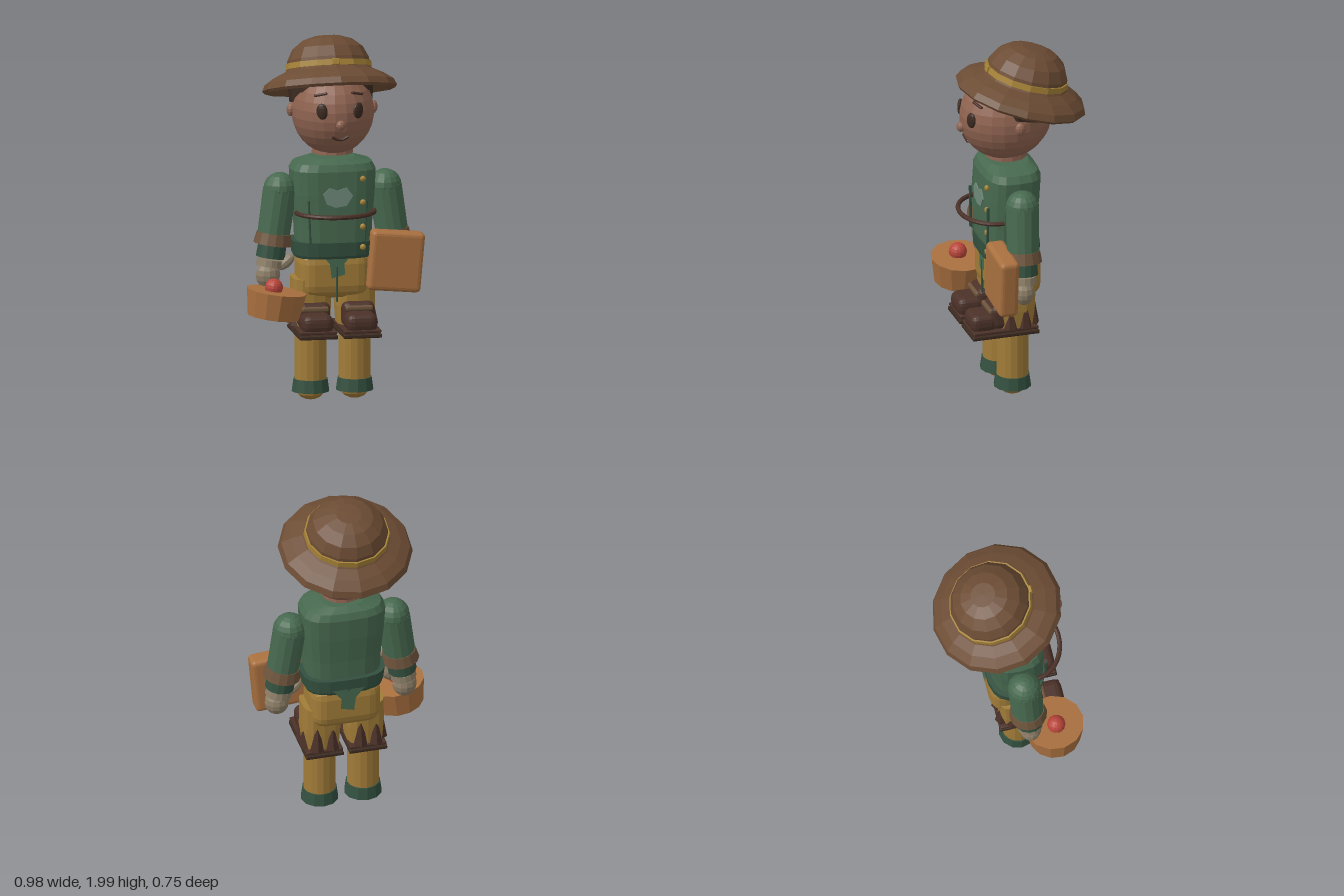
import * as THREE from 'three';
import { RoundedBoxGeometry } from 'three/addons/geometries/RoundedBoxGeometry.js';

const mat = (color, side = THREE.FrontSide) =>
  new THREE.MeshStandardMaterial({ color, flatShading: true, side });

const M = {
  skin: mat(0x8f6350), green: mat(0x47694f), darkGreen: mat(0x33503f), pants: mat(0xa17c38),
  felt: mat(0x6c4c34), gold: mat(0xa58236), boot: mat(0x4b3128), dark: mat(0x3b2a20, THREE.DoubleSide),
  cuff: mat(0x6e543c), glove: mat(0x8d7f68), tan: mat(0xa9703f), red: mat(0xb8453a), patch: mat(0x6f8a7b),
  patchGreen: mat(0x45694f, THREE.DoubleSide),
};

function add(parent, name, geometry, material, pos = [0, 0, 0], rot = [0, 0, 0]) {
  const mesh = new THREE.Mesh(geometry, material);
  mesh.name = name;
  mesh.position.set(...pos);
  mesh.rotation.set(...rot);
  parent.add(mesh);
  return mesh;
}

const box = (w, h, d, r = 0.02) => new RoundedBoxGeometry(w, h, d, 2, r);
const ball = (rx, ry = rx, rz = rx, n = 14) => new THREE.SphereGeometry(1, n, Math.round(n * 0.7)).scale(rx, ry, rz);
const cyl = (top, bottom, h, n = 14, open = false) => new THREE.CylinderGeometry(top, bottom, h, n, 1, open);
const lathe = (pts, n) => new THREE.LatheGeometry(pts.map((p) => new THREE.Vector2(...p)), n);

// Tapered cylinder between two points
function limb(parent, name, a, b, ra, rb, material) {
  const A = new THREE.Vector3(...a), B = new THREE.Vector3(...b);
  const dir = B.clone().sub(A);
  const mesh = add(parent, name, cyl(rb, ra, dir.length()), material);
  mesh.position.copy(A).add(B).multiplyScalar(0.5);
  mesh.quaternion.setFromUnitVectors(new THREE.Vector3(0, 1, 0), dir.normalize());
  return mesh;
}

// Stack of rounded-rectangle sections [y, halfWidth, halfDepth, centreZ], capped at both ends
function loft(sections, n = 20) {
  const pos = [], idx = [];
  const round = (v) => Math.sign(v) * Math.abs(v) ** 0.65;
  for (const [y, rx, rz, cz] of sections)
    for (let i = 0; i < n; i++) {
      const a = (i / n) * Math.PI * 2;
      pos.push(rx * round(Math.sin(a)), y, cz + rz * round(Math.cos(a)));
    }
  const last = sections.length - 1;
  for (let k = 0; k < last; k++)
    for (let i = 0; i < n; i++) {
      const a = k * n + i, b = k * n + ((i + 1) % n);
      idx.push(a, b, b + n, a, b + n, a + n);
    }
  for (let i = 1; i < n - 1; i++) {
    idx.push(0, i + 1, i);
    idx.push(last * n, last * n + i, last * n + i + 1);
  }
  const g = new THREE.BufferGeometry();
  g.setAttribute('position', new THREE.Float32BufferAttribute(pos, 3));
  g.setIndex(idx);
  g.computeVertexNormals();
  return g;
}

function buildHead(root) {
  const head = new THREE.Group();
  head.name = 'head';
  root.add(head);
  const C = [0, 1.6, 0.065], R = [0.225, 0.243, 0.255];
  const faceZ = (x, y) => C[2] + R[2] * Math.sqrt(1 - (x / R[0]) ** 2 - ((y - C[1]) / R[1]) ** 2);
  add(head, 'skull', ball(...R, 22), M.skin, C);
  add(head, 'neck', cyl(0.11, 0.115, 0.06, 12), M.skin, [0, 1.395, 0.06]);
  add(head, 'nose', ball(0.028, 0.028, 0.025, 10), M.skin, [0, 1.56, 0.318]);
  for (const s of [-1, 1]) {
    add(head, 'ear', ball(0.025, 0.037, 0.03, 10), M.skin, [s * 0.227, 1.605, 0.05]);
    const ex = s * 0.1;
    add(head, 'eye', ball(0.032, 0.045, 0.015, 12), M.dark, [ex, 1.635, faceZ(ex, 1.635)], [0, s * 0.45, s * -0.1]);
    add(head, 'eyebrow', box(0.075, 0.014, 0.02, 0.006), M.boot, [ex, 1.722, faceZ(ex, 1.722)], [-0.3, s * 0.45, s * -0.08]);
  }
  const smile = [-0.045, -0.022, 0, 0.022, 0.045].map((x) => {
    const y = 1.475 + 9 * x * x;
    return new THREE.Vector3(x, y, faceZ(x, y));
  });
  add(head, 'mouth', new THREE.TubeGeometry(new THREE.CatmullRomCurve3(smile), 10, 0.009, 6), M.boot);
}

function buildHat(root) {
  const hat = new THREE.Group();
  hat.name = 'hat';
  hat.position.set(0, 1.71, -0.025);
  hat.rotation.x = -0.28;
  root.add(hat);
  add(hat, 'brimAndCrown', lathe([[0.2, 0.05], [0.3, 0.02], [0.355, -0.025], [0.368, -0.01], [0.352, 0.025],
    [0.3, 0.06], [0.24, 0.088], [0.228, 0.1], [0.222, 0.15], [0.192, 0.21], [0.135, 0.255], [0.07, 0.275], [0, 0.277]], 14), M.felt);
  add(hat, 'hatBand', cyl(0.233, 0.236, 0.032, 14), M.gold, [0, 0.115, 0]);
  add(hat, 'hatBuckle', box(0.04, 0.036, 0.02, 0.005), M.gold, [0, 0.117, 0.232]);
  add(hat, 'hatLining', cyl(0.238, 0.226, 0.15, 14, true), M.dark, [0, -0.005, 0.028], [0.08, 0, 0]);
}

function buildTorso(root) {
  add(root, 'jacket', loft([[0.84, 0.205, 0.145, 0.07], [1.0, 0.213, 0.15, 0.067], [1.15, 0.227, 0.158, 0.06],
    [1.28, 0.234, 0.16, 0.055], [1.318, 0.212, 0.145, 0.055], [1.345, 0.12, 0.11, 0.055]]), M.green);
  add(root, 'belt', loft([[0.8, 0.215, 0.155, 0.06], [0.815, 0.222, 0.16, 0.06], [0.89, 0.232, 0.162, 0.06]]), M.darkGreen);
  for (const y of [1.24, 1.11, 0.975, 0.862])
    add(root, 'button', ball(0.017, 0.017, 0.014, 8), M.gold, [0.14, y, 0.215]);
  for (const s of [-1, 1])
    add(root, 'jacketSeam', box(0.011, 0.24, 0.015, 0.004), M.darkGreen, [s * 0.155, 1.01, 0.214], [0, 0, s * -0.04]);

  // Faded chest patch
  const patch = new THREE.Shape([[-0.08, 0.02], [-0.045, 0.055], [0, 0.04], [0.05, 0.055], [0.085, 0.01],
    [0.05, -0.045], [-0.01, -0.055], [-0.06, -0.035]].map((p) => new THREE.Vector2(...p)));
  add(root, 'chestPatch', new THREE.ExtrudeGeometry(patch, { depth: 0.008, bevelEnabled: false }), M.patch, [0, 1.14, 0.214]);

  // Carrying handle bowed out in front of the chest
  const bow = [];
  for (let i = 0; i <= 12; i++) {
    const a = (i / 12) * Math.PI;
    bow.push(new THREE.Vector3(-0.215 * Math.cos(a), 1.05, 0.14 + 0.182 * Math.sin(a)));
  }
  add(root, 'chestHandle', new THREE.TubeGeometry(new THREE.CatmullRomCurve3(bow), 24, 0.013, 8), M.boot);
}

function buildArms(root) {
  for (const s of [-1, 1]) {
    const arm = new THREE.Group();
    arm.name = s > 0 ? 'leftArm' : 'rightArm';
    root.add(arm);
    const at = (t) => [s * (0.29 + 0.07 * t), 1.17 - 0.48 * t, 0.06 + 0.015 * t];
    add(arm, 'shoulder', ball(0.092), M.green, at(0));
    limb(arm, 'sleeve', at(0), at(0.6), 0.092, 0.088, M.green);
    limb(arm, 'sleeveBand', at(0.5), at(0.63), 0.093, 0.104, M.cuff);
    limb(arm, 'sleeveCuff', at(0.6), at(0.78), 0.076, 0.08, M.darkGreen);
    limb(arm, 'gloveCuff', at(0.8), at(0.88), 0.07, 0.073, M.glove);
    add(arm, 'hand', ball(0.068, 0.075, 0.06, 12), M.glove, at(0.98));
    add(arm, 'thumb', ball(0.032, 0.058, 0.032, 10), M.glove, [s * 0.262, 0.77, 0.09], [0, 0, s * 0.85]);
  }
}

function buildLegs(root) {
  add(root, 'hips', box(0.39, 0.27, 0.29, 0.075), M.pants, [0, 0.705, 0.05]);
  add(root, 'crotchSeam', box(0.012, 0.2, 0.012, 0.004), M.darkGreen, [0, 0.66, 0.196]);
  const tail = new THREE.Shape([[-0.09, 0.05], [0.09, 0.05], [0.04, -0.01], [0.045, -0.07], [-0.03, -0.09],
    [-0.04, -0.01]].map((p) => new THREE.Vector2(...p)));
  for (const z of [0.2, -0.1])
    add(root, 'jacketTail', new THREE.ShapeGeometry(tail), M.patchGreen, [0, 0.78, z]);
  for (const s of [-1, 1]) {
    const leg = new THREE.Group();
    leg.name = s > 0 ? 'leftLeg' : 'rightLeg';
    leg.position.x = s * 0.122;
    root.add(leg);
    add(leg, 'thigh', loft([[0.41, 0.1, 0.105, 0.06], [0.52, 0.108, 0.112, 0.06], [0.68, 0.105, 0.12, 0.06]], 14), M.pants);
    add(leg, 'shin', cyl(0.088, 0.088, 0.3, 16), M.pants, [0, 0.25, 0.063]);
    add(leg, 'ankleCuff', cyl(0.094, 0.104, 0.07, 12), M.darkGreen, [0, 0.082, 0.063]);
    add(leg, 'foot', ball(0.075, 0.05, 0.075, 12), M.pants, [0, 0.05, 0.063]);
    add(leg, 'footPlate', box(0.212, 0.022, 0.38, 0.006), M.dark, [0, 0.387, 0.13]);
    add(leg, 'footPlateRim', box(0.205, 0.018, 0.37, 0.006), M.boot, [0, 0.412, 0.13]);
    add(leg, 'bootToe', box(0.172, 0.105, 0.15, 0.04), M.boot, [0, 0.455, 0.243]);
    add(leg, 'bootInstep', box(0.178, 0.14, 0.12, 0.035), M.boot, [0, 0.485, 0.145]);
    add(leg, 'bootStrap', box(0.15, 0.028, 0.025, 0.01), M.cuff, [0, 0.523, 0.206]);
    // Jagged boot tops around the heel
    for (const [x, z, h] of [[s * 0.085, 0.02, 0.14], [-0.045, -0.035, 0.12], [0.04, -0.035, 0.14], [s * 0.085, 0.1, 0.11]])
      add(leg, 'bootHeelTab', new THREE.CylinderGeometry(0.015, 0.04, h, 6), M.boot, [x, 0.42 + h / 2, z]);
  }
}

// Things held in the hands
function buildProps(root) {
  add(root, 'case', box(0.295, 0.33, 0.108, 0.025), M.tan, [0.323, 0.775, 0.187], [0, 0, -0.09]);
  const basket = new THREE.Group();
  basket.name = 'basket';
  basket.position.set(-0.346, 0.565, 0.212);
  basket.rotation.z = -0.135;
  root.add(basket);
  add(basket, 'basketBody', cyl(0.165, 0.142, 0.145, 13), M.tan);
  add(basket, 'apple', ball(0.05, 0.05, 0.05, 14), M.red, [-0.02, 0.09, 0.01]);
}

export function createModel() {
  const model = new THREE.Group();
  model.name = 'travellerFigure';
  const body = new THREE.Group();
  body.name = 'body';
  body.position.x = 0.01;
  model.add(body);
  for (const build of [buildHead, buildHat, buildTorso, buildArms, buildLegs, buildProps]) build(body);
  return model;
}
